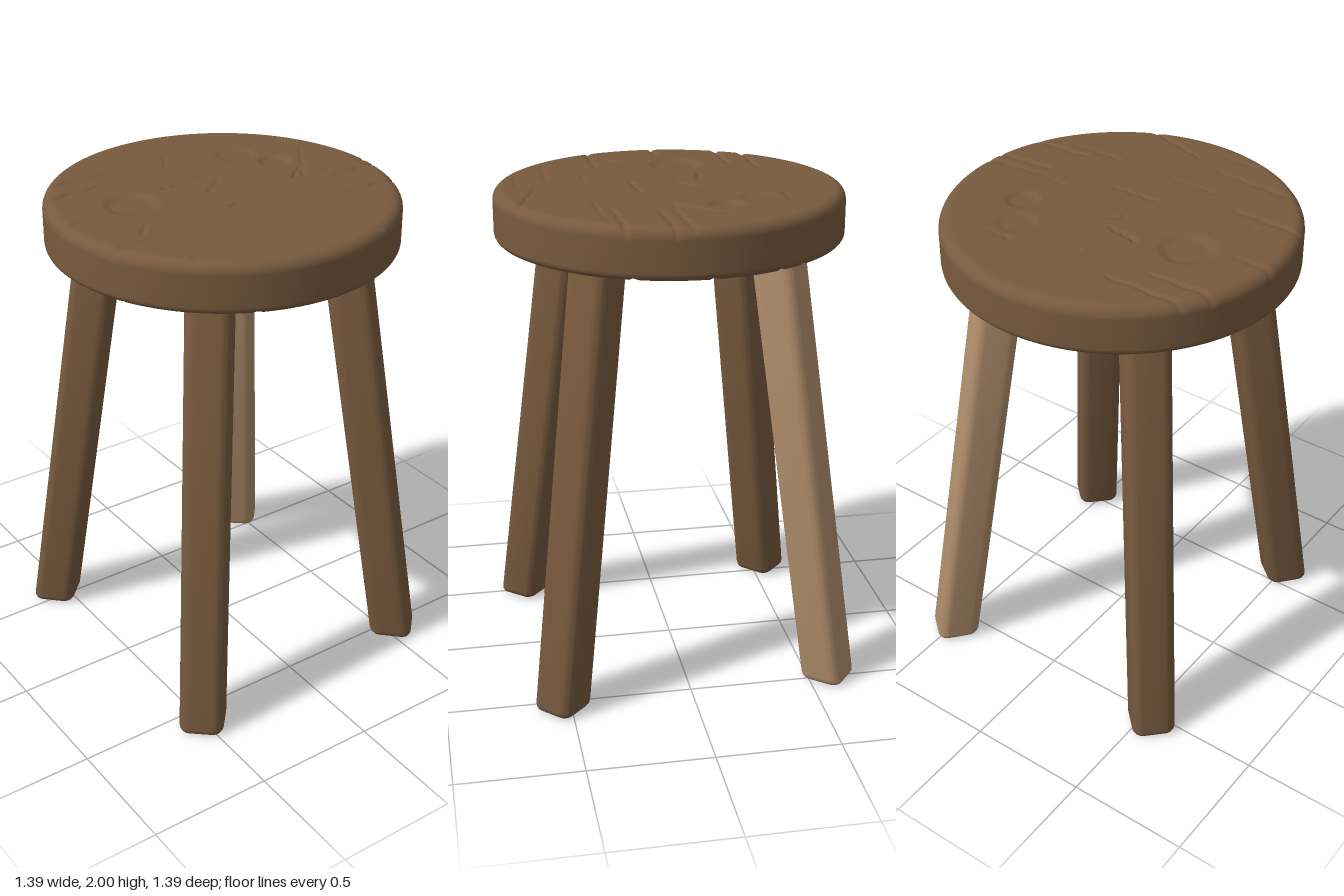
import * as THREE from 'three';
import { mergeVertices, toCreasedNormals } from 'three/addons/utils/BufferGeometryUtils.js';

const darkWood = new THREE.MeshStandardMaterial({ name: 'dark wood', color: 0x785a3e });
const paleWood = new THREE.MeshStandardMaterial({ name: 'pale wood', color: 0xb08e6c });

const SEAT_R = 0.695, SEAT_LOW = 1.8, SEAT_HIGH = 2.0;

// Cracks in the seat: wide end x, z, narrow end x, z, half width, depth
const cracks = [
  [-0.69, -0.41, -0.24, -0.415, 0.014, 0.016],
  [-0.66, -0.305, -0.34, -0.31, 0.014, 0.016],
  [-0.72, -0.04, -0.54, -0.04, 0.013, 0.015],
  [-0.66, 0.245, -0.35, 0.25, 0.013, 0.015],
  [0.69, 0.095, 0.43, 0.11, 0.013, 0.014],
  [0.68, 0.035, 0.42, 0.05, 0.012, 0.012],
  [0.66, 0.27, 0.38, 0.28, 0.012, 0.014],
  [-0.45, 0.46, -0.13, 0.475, 0.012, 0.01],
  [0.36, 0.04, 0.55, -0.23, 0.012, 0.009],
  [0.31, 0.04, 0.45, -0.08, 0.012, 0.009],
  [0.28, 0.62, 0, 0.53, 0.014, 0.01],
  [-0.17, -0.15, -0.04, -0.13, 0.018, 0.012],
  [-0.04, -0.03, 0.06, -0.11, 0.014, 0.009],
  [-0.06, 0.14, 0.13, 0.135, 0.014, 0.01],
  [-0.48, 0.18, -0.42, 0.11, 0.013, 0.009],
  [-0.22, 0.32, 0, 0.325, 0.01, 0.006],
  [0.21, -0.41, 0.34, -0.415, 0.012, 0.008],
  [-0.05, -0.33, 0.02, -0.45, 0.012, 0.007],
  [0.25, 0.335, 0.5, 0.33, 0.011, 0.006],
  [-0.26, 0.59, -0.03, 0.595, 0.011, 0.006],
];

// Shallow round dents: x, z, radius, depth
const dents = [
  [-0.36, -0.09, 0.12, 0.012],
  [0.36, -0.15, 0.075, 0.012],
  [0.27, -0.3, 0.09, 0.006],
];

function wear(x, z, withDents) {
  let depth = 0;
  for (const [ax, az, bx, bz, width, deep] of cracks) {
    const dx = bx - ax, dz = bz - az;
    const t = THREE.MathUtils.clamp(((x - ax) * dx + (z - az) * dz) / (dx * dx + dz * dz), 0, 1);
    const wobble = 0.004 * Math.sin(t * 17 + ax * 30);
    const d = Math.hypot(x - ax - dx * t, z - az - dz * t + wobble);
    depth = Math.max(depth, deep * (1 - 0.6 * t) * Math.max(0, 1 - d / width));
  }
  if (withDents) {
    for (const [cx, cz, r, deep] of dents) {
      const d = Math.hypot(x - cx, z - cz) / r;
      depth += deep * (1 - THREE.MathUtils.smoothstep(d, 0.6, 1));
    }
  }
  return depth;
}

// Round slab with rounded rims, cracked above and below
function seatGeometry() {
  const profile = [];
  const add = (r, y) => profile.push(new THREE.Vector2(r, y));
  const low = 0.03, high = 0.045;
  for (let i = 0; i <= 40; i++) add((SEAT_R - low) * i / 40, SEAT_LOW);
  for (let i = 1; i <= 5; i++) {
    const a = i / 5 * Math.PI / 2;
    add(SEAT_R - low + low * Math.sin(a), SEAT_LOW + low - low * Math.cos(a));
  }
  for (let i = 0; i <= 6; i++) {
    const a = i / 6 * Math.PI / 2;
    add(SEAT_R - high + high * Math.cos(a), SEAT_HIGH - high + high * Math.sin(a));
  }
  for (let i = 79; i >= 0; i--) add((SEAT_R - high) * i / 80, SEAT_HIGH);

  let g = new THREE.LatheGeometry(profile, 320);
  g.deleteAttribute('uv');
  g.deleteAttribute('normal');
  g = mergeVertices(g, 1e-5);
  const p = g.attributes.position;
  for (let i = 0; i < p.count; i++) {
    const x = p.getX(i), y = p.getY(i), z = p.getZ(i);
    if (y > 1.95) p.setY(i, y - wear(x, z, true));
    else if (y < 1.81) p.setY(i, y + 0.7 * wear(-x, z, false));
  }
  g.computeVertexNormals();
  return g;
}

// Rounded square post, sheared so that both ends stay level
function legGeometry(footX, footZ, topX, topZ) {
  const h = 0.09, r = 0.045, bevel = 0.03, length = 1.86;
  const s = new THREE.Shape();
  s.absarc(h - r, h - r, r, 0, Math.PI / 2);
  s.absarc(r - h, h - r, r, Math.PI / 2, Math.PI);
  s.absarc(r - h, r - h, r, Math.PI, Math.PI * 1.5);
  s.absarc(h - r, r - h, r, Math.PI * 1.5, Math.PI * 2);
  const g = new THREE.ExtrudeGeometry(s, {
    depth: length - 2 * bevel, curveSegments: 5,
    bevelSize: bevel, bevelThickness: bevel, bevelOffset: -bevel, bevelSegments: 4,
  });
  g.translate(0, 0, bevel);
  g.rotateX(-Math.PI / 2);
  g.rotateY(-Math.atan2(footZ, footX));
  const p = g.attributes.position;
  for (let i = 0; i < p.count; i++) {
    const t = p.getY(i) / SEAT_LOW;
    p.setX(i, p.getX(i) + footX + (topX - footX) * t);
    p.setZ(i, p.getZ(i) + footZ + (topZ - footZ) * t);
  }
  return toCreasedNormals(g, 0.6);
}

export function createModel() {
  const model = new THREE.Group();
  model.name = 'stool';
  const add = (name, geometry, material) => {
    const mesh = new THREE.Mesh(geometry, material);
    mesh.name = name;
    model.add(mesh);
  };

  add('seat', seatGeometry(), darkWood);

  // Legs: foot x, z, then x, z under the seat
  add('frontLeftLeg', legGeometry(0.54, 0.535, 0.35, 0.335), darkWood);
  add('frontRightLeg', legGeometry(-0.505, 0.585, -0.315, 0.375), darkWood);
  add('backRightLeg', legGeometry(-0.545, -0.54, -0.35, -0.34), darkWood);
  add('backLeftLeg', legGeometry(0.49, -0.585, 0.305, -0.37), paleWood);
  return model;
}
